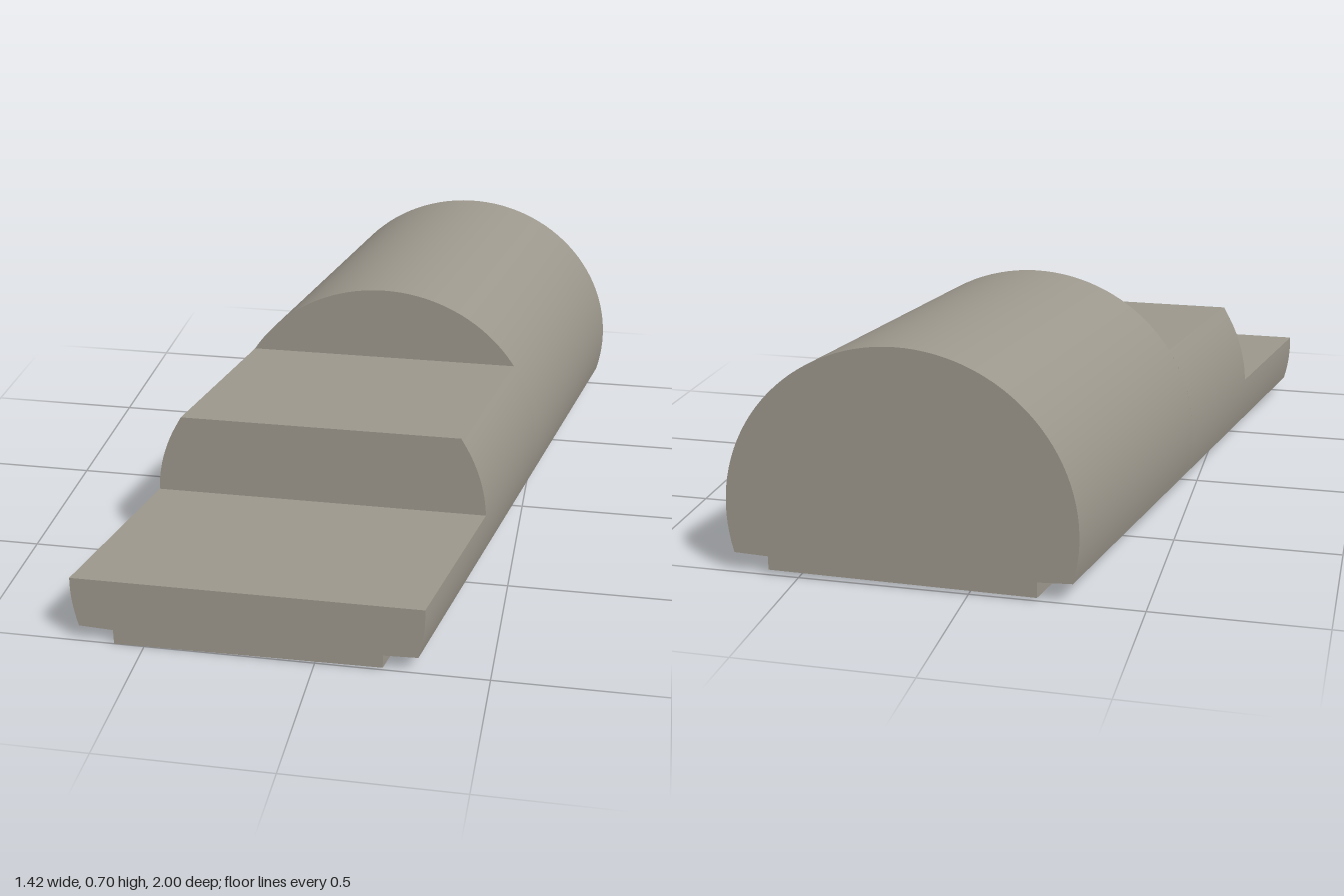
import * as THREE from 'three';
import { toCreasedNormals } from 'three/addons/utils/BufferGeometryUtils.js';

const R = 0.511, CY = 0.189;            // round back of the profile
const SKEW = -0.197, PITCH = -0.0045;   // sideways and vertical drift along z

// Rounded profile with a rebated base, cut level at height "top"
function profile(top) {
  const pts = [[-0.3925, 0.0045], [0.3925, 0.0115], [0.3925, 0.0525]];
  const start = Math.asin((0.056 - CY) / R);
  const end = top ? Math.asin((top - CY) / R) : Math.PI / 2;
  const n = 32, right = [];
  for (let i = 0; i <= n; i++) {
    const a = start + (end - start) * i / n;
    right.push([R * Math.cos(a), CY + R * Math.sin(a)]);
  }
  const left = right.map(([x, y]) => [-x, y]).reverse();
  if (!top) left.shift();
  pts.push(...right, ...left, [-0.3925, 0.051]);
  return new THREE.Shape(pts.map(([x, y]) => new THREE.Vector2(x, y)));
}

// Skewed length of the profile between two depths
function section(name, z0, z1, top, material) {
  const geo = new THREE.ExtrudeGeometry(profile(top), { depth: z1 - z0, bevelEnabled: false });
  geo.translate(0, 0, z0);
  const p = geo.attributes.position;
  for (let i = 0; i < p.count; i++) {
    const z = p.getZ(i), y = p.getY(i);
    const level = top && Math.abs(y - top) < 1e-4;   // cut faces stay horizontal
    p.setXYZ(i, p.getX(i) + SKEW * z, level ? y : y + PITCH * z, z);
  }
  geo.computeVertexNormals();
  const mesh = new THREE.Mesh(toCreasedNormals(geo, 0.35), material);
  mesh.name = name;
  return mesh;
}

export function createModel() {
  const group = new THREE.Group();
  group.name = 'steppedHalfRoundBlock';
  const stone = new THREE.MeshStandardMaterial({ color: 0x9c978c });
  stone.name = 'warmGrey';
  group.add(
    section('fullHeightVault', -1, -0.09, 0, stone),
    section('middleStep', -0.09, 0.45, 0.465, stone),
    section('lowerStep', 0.45, 1, 0.21, stone)
  );
  return group;
}
